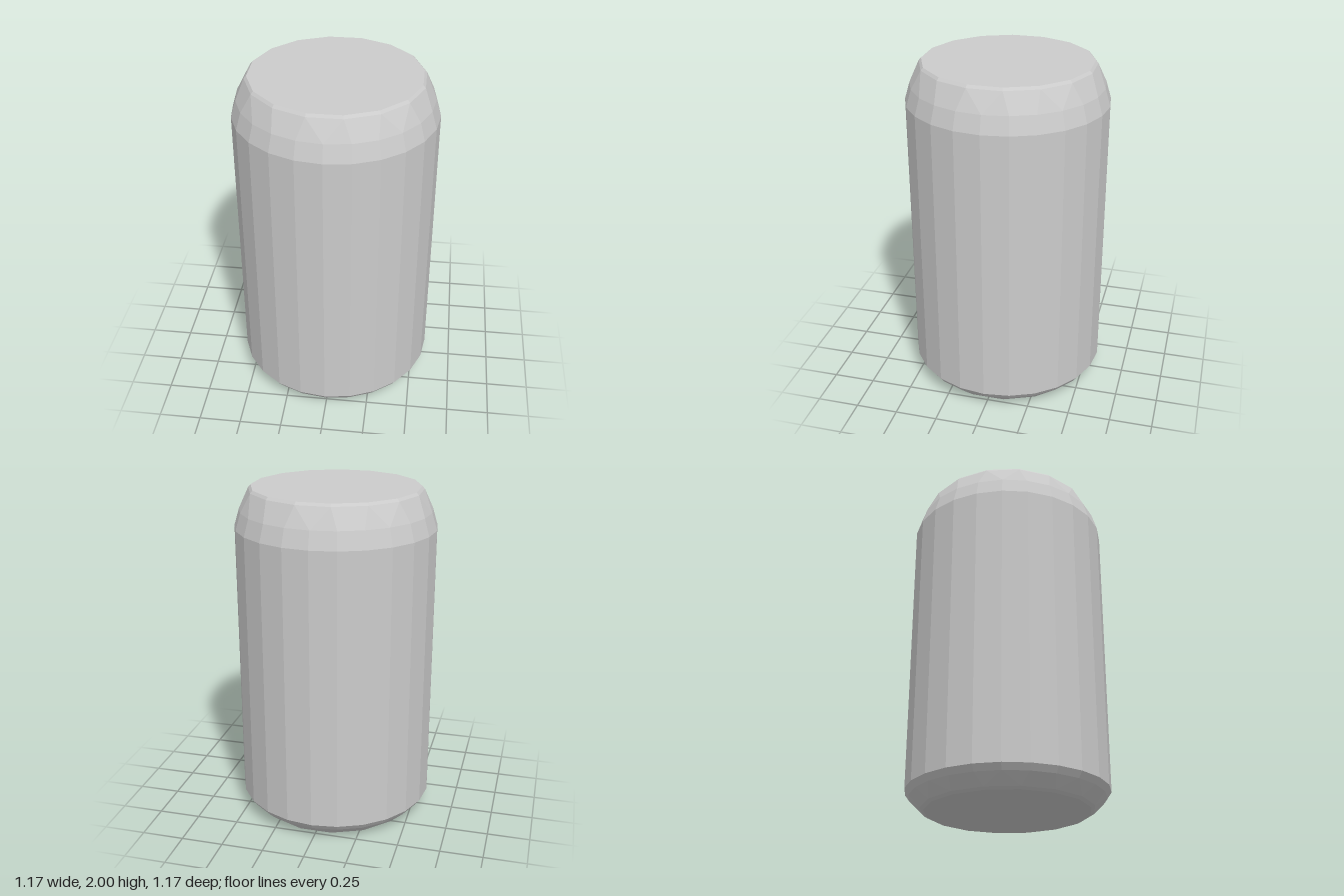
import * as THREE from 'three';

const R = 0.587, SIDES = 24, RIM_SIDES = 16;
const HALF = Math.PI / RIM_SIDES;
const material = new THREE.MeshStandardMaterial({ color: 0xcccccc, flatShading: true });

// A ring: height, radius, number of sides, starting angle
const ring = (y, r, n = SIDES, start = 0) => ({ y, r, n, start });
const angle = (g, i) => g.start + (i / g.n) * Math.PI * 2;
const point = (g, i) => [g.r * Math.cos(angle(g, i)), g.y, g.r * Math.sin(angle(g, i))];

// Skin a stack of rings, bottom to top; neighbours may differ in side count
function skin(name, rings) {
  const positions = [];
  for (let k = 0; k < rings.length - 1; k++) {
    const a = rings[k], b = rings[k + 1];
    let i = 0, j = 0;
    while (i < a.n || j < b.n) {
      const lower = j >= b.n || (i < a.n && angle(a, i + 0.5) <= angle(b, j + 0.5));
      positions.push(...point(a, i), ...point(b, j));
      positions.push(...(lower ? point(a, ++i) : point(b, ++j)));
    }
  }
  const geometry = new THREE.BufferGeometry();
  geometry.setAttribute('position', new THREE.Float32BufferAttribute(positions, 3));
  geometry.computeVertexNormals();
  return named(name, geometry);
}

function named(name, geometry) {
  const mesh = new THREE.Mesh(geometry, material);
  mesh.name = name;
  return mesh;
}

// Flat end disc facing up (1) or down (-1)
function disc(name, y, r, facing) {
  const geometry = new THREE.CircleGeometry(r, RIM_SIDES, HALF);
  geometry.rotateX(-facing * Math.PI / 2).translate(0, y, 0);
  return named(name, geometry);
}

export function createModel() {
  const can = new THREE.Group();
  can.name = 'can';

  can.add(
    // Rounded foot narrowing to the flat bottom
    disc('bottom', 0, 0.476, -1),
    skin('foot', [
      ring(0, 0.476, RIM_SIDES, HALF),
      ring(0.012, 0.497, RIM_SIDES, HALF),
      ring(0.075, 0.562),
      ring(0.11, R),
    ]),
    // Straight faceted wall
    skin('wall', [ring(0.11, R), ring(1.77, R)]),
    // Shoulder curving in to the rim
    skin('shoulder', [
      ring(1.77, R),
      ring(1.87, 0.557),
      ring(1.985, 0.504, RIM_SIDES, HALF),
    ]),
    // Small bevel around the flat lid
    skin('rim', [
      ring(1.985, 0.504, RIM_SIDES, HALF),
      ring(2, 0.49, RIM_SIDES, HALF),
    ]),
    disc('lid', 2, 0.49, 1),
  );
  return can;
}
